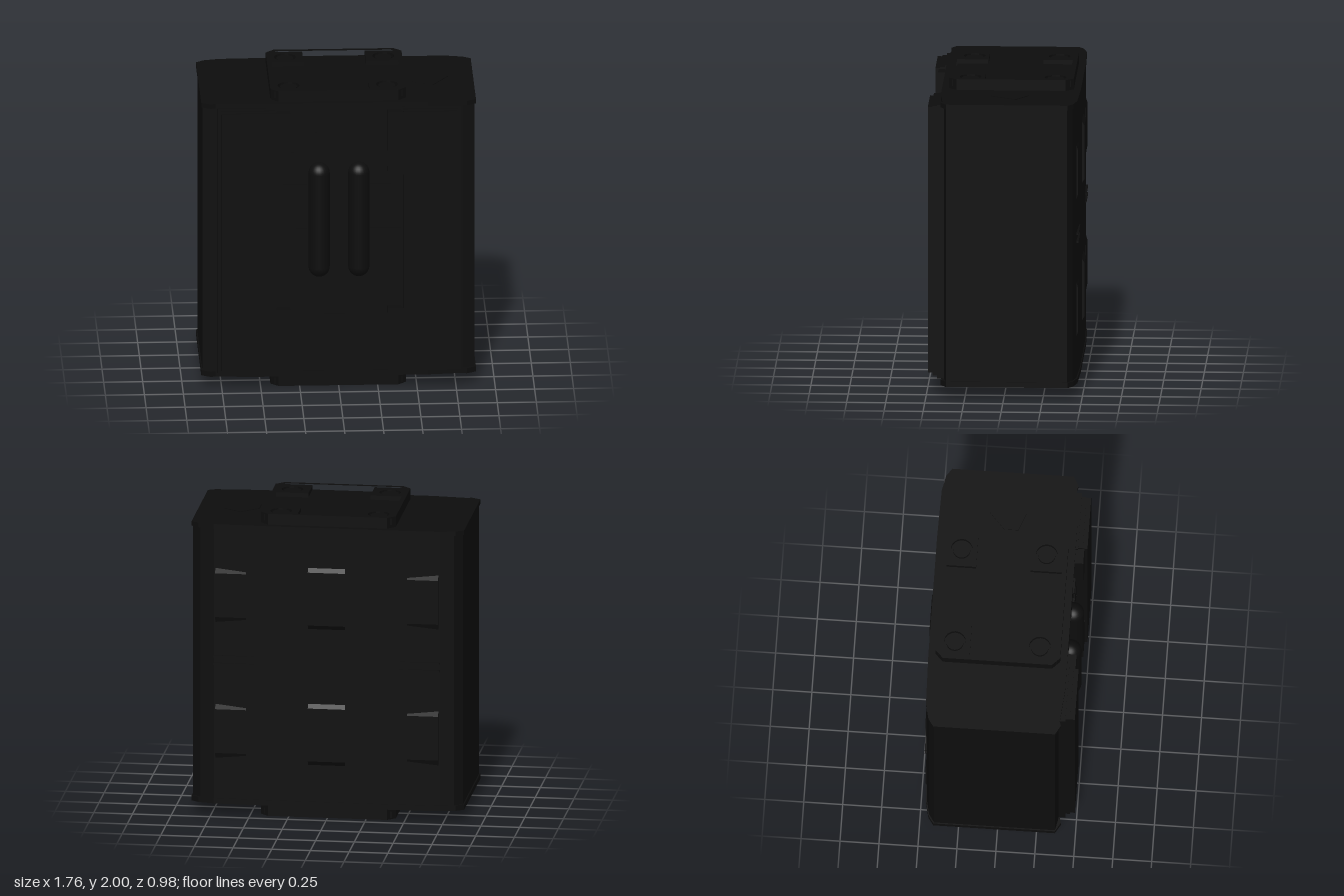
import * as THREE from 'three';

const black = new THREE.MeshStandardMaterial({ color: 0x0d0d0d });
black.name = 'matte black';

export function createModel() {
  const model = new THREE.Group();
  const add = (name, geo, x = 0, y = 0, z = 0) => {
    const m = new THREE.Mesh(geo, black);
    m.name = name;
    m.position.set(x, y, z);
    model.add(m);
    return m;
  };
  // box given by its limits
  const block = (name, x0, x1, y0, y1, z0, z1) =>
    add(name, new THREE.BoxGeometry(x1 - x0, y1 - y0, z1 - z0), (x0 + x1) / 2, (y0 + y1) / 2, (z0 + z1) / 2);
  // plan outline (x, z) extruded upwards from y0 to y1
  const slab = (name, shape, y0, y1) => {
    const g = new THREE.ExtrudeGeometry(shape, { depth: y1 - y0, bevelEnabled: false, curveSegments: 8 });
    g.rotateX(-Math.PI / 2);
    return add(name, g, 0, y0, 0);
  };
  // shapes use (x, -z) so the extrusion rises along y
  const shapeOf = (pts, Type = THREE.Shape) => new Type(pts.map(([x, z]) => new THREE.Vector2(x, -z)));
  const mirrored = half => shapeOf([...half, ...half.map(([x, z]) => [-x, z]).reverse()]);
  const chamfered = (x, z0, z1, c) => [[x - c, z0], [x, z0 + c], [x, z1 - c], [x - c, z1]];

  // main shell and its two end caps
  const capHalf = [[0.4, -0.475], [0.73, -0.467], [0.83, -0.445], [0.88, -0.41], [0.88, 0.37],
    [0.82, 0.405], [0.79, 0.395], [0.57, 0.415]];
  const coreHalf = [[0.4, -0.47], [0.73, -0.46], [0.82, -0.44], [0.872, -0.405], [0.872, 0.37],
    [0.8, 0.385], [0.57, 0.4]];
  slab('shell', mirrored(coreHalf), 0.1, 1.91);
  slab('bottomCap', mirrored(capHalf), 0.08, 0.115);
  slab('topCap', mirrored(capHalf), 1.9, 1.93);

  // connector frames on both ends with four drilled corner pads
  for (const [end, y0, y1] of [['bottom', 0, 0.09], ['top', 1.92, 2]]) {
    const rim = mirrored(chamfered(0.435, -0.43, 0.37, 0.05));
    const hole = chamfered(0.405, -0.4, 0.34, 0.04);
    rim.holes.push(shapeOf([...hole, ...hole.map(([x, z]) => [-x, z]).reverse()], THREE.Path));
    slab(end + 'Frame', rim, y0, y1);
    const floor = end === 'top' ? [1.92, 1.965] : [0.035, 0.09];
    block(end + 'FrameFloor', -0.41, 0.41, ...floor, -0.4, 0.34);
    for (const s of [-1, 1]) for (const [z0, z1, cz] of [[-0.41, -0.21, -0.31], [0.14, 0.35, 0.235]]) {
      const a = s * 0.2, b = s * 0.41;
      const pad = shapeOf([[a, z0], [b, z0], [b, z1], [a, z1]]);
      const bore = new THREE.Path();
      bore.absarc(s * 0.315, -cz, 0.07, 0, Math.PI * 2);
      pad.holes.push(bore);
      const p = end === 'top' ? [1.95, 1.992] : [0.008, 0.05];
      slab(end + 'CornerPad', pad, ...p);
      add(end + 'Stud', new THREE.CylinderGeometry(0.055, 0.055, 0.025, 20), s * 0.315, end === 'top' ? 1.973 : 0.027, cz);
    }
  }

  // stepped front armour panels, mirrored
  for (const s of [-1, 1]) {
    const side = (name, a, b, ...r) => block(name, Math.min(s * a, s * b), Math.max(s * a, s * b), ...r);
    side('panelBack', 0.4, 0.78, 0.115, 1.905, 0.36, 0.43);
    side('panelStep', 0.41, 0.76, 0.13, 1.895, 0.38, 0.46);
    side('frontPanel', 0.41, 0.757, 0.148, 1.888, 0.38, 0.49);
    side('lowerInnerStep', 0.31, 0.415, 0.135, 0.55, 0.38, 0.47);
    side('upperInnerStep', 0.31, 0.415, 1.46, 1.88, 0.38, 0.47);
    side('upperTab', 0.21, 0.31, 1.5, 1.6, 0.38, 0.42);
    side('upperTab', 0.05, 0.2, 1.56, 1.73, 0.38, 0.41);
    side('middleTab', 0.2, 0.41, 1.1, 1.38, 0.38, 0.42);
    side('middleRib', 0.2, 0.41, 1.05, 1.08, 0.38, 0.42);
    // rounded front rods
    add('frontRod', new THREE.CapsuleGeometry(0.068, 0.634, 8, 24), s * 0.127, 1.145, 0.42);
  }
  block('frontStrip', -0.31, 0.31, 0.13, 0.5, 0.38, 0.415);

  // bevelled ribs on the back: centre pair and lower side pairs
  const rib = (x, y, w, h, z, depth) => {
    const bev = 0.035;
    const s = new THREE.Shape([[0, -h / 2], [depth, -h / 2 + bev], [depth, h / 2 - bev], [0, h / 2]]
      .map(p => new THREE.Vector2(...p)));
    const g = new THREE.ExtrudeGeometry(s, { depth: w, bevelEnabled: false });
    g.translate(0, 0, -w / 2).rotateY(Math.PI / 2);
    add('backRib', g, x, y, z);
  };
  for (const y of [0.56, 1.46]) {
    rib(0, y, 0.24, 0.42, -0.465, 0.022);
    for (const x of [-0.62, 0.62]) rib(x, y, 0.2, 0.36, -0.46, 0.01);
  }
  for (const y of [1.0, 1.05]) for (const s of [-1, 1])
    block('backSeam', s * 0.6 - 0.13, s * 0.6 + 0.13, y, y + 0.012, -0.475, -0.44);

  // small five-sided cover on the top
  slab('topCover', shapeOf([[0.49, 0.04], [0.62, 0.09], [0.72, -0.07], [0.6, -0.15], [0.49, -0.05]]), 1.925, 1.935);

  // ribs were extruded towards +z: face them to the back
  model.traverse(m => { if (m.name === 'backRib') m.rotation.y = 0; });
  model.traverse(m => {
    if (m.name !== 'backRib') return;
    m.geometry.computeBoundingBox();
    // profile height runs along z after the turn, so keep the raised side outwards
    if (m.geometry.boundingBox.max.z > 0.001) m.rotation.y = Math.PI;
  });
  return model;
}
